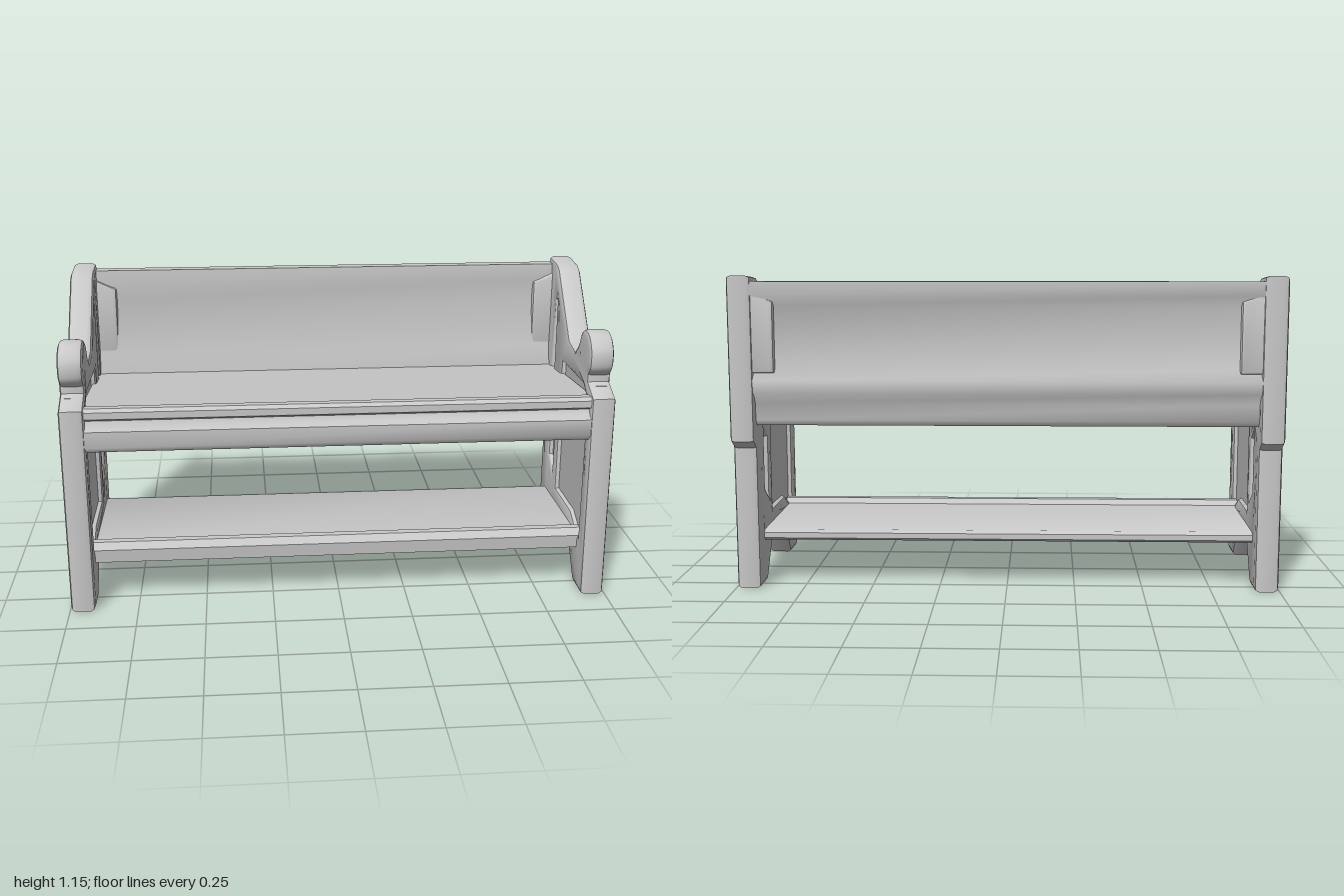
import * as THREE from 'three';
import { toCreasedNormals } from 'three/addons/utils/BufferGeometryUtils.js';

const wood = new THREE.MeshStandardMaterial({ color: 0xc8c8c8 });
wood.name = 'palePaint';

const path = (pts, Type = THREE.Shape) => new Type(pts.map(([a, b]) => new THREE.Vector2(a, b)));
const rect = (a0, b0, a1, b1) => [[a0, b0], [a1, b0], [a1, b1], [a0, b1]];

function extrude(shape, depth, bevel) {
  return new THREE.ExtrudeGeometry(shape, {
    depth: depth - 2 * bevel, curveSegments: 5, bevelEnabled: bevel > 0,
    bevelSize: bevel, bevelThickness: bevel, bevelOffset: -bevel, bevelSegments: 2,
  }).translate(0, 0, bevel);
}

function mesh(name, geometry) {
  const m = new THREE.Mesh(toCreasedNormals(geometry, 0.7), wood);
  m.name = name;
  return m;
}

// Extrude a (z, y) outline across x from x0 to x1
function across(name, shape, x0, x1, bevel = 0) {
  return mesh(name, extrude(shape, x1 - x0, bevel).rotateY(-Math.PI / 2).translate(x1, 0, 0));
}

function endOutline() {
  const s = new THREE.Shape();
  s.moveTo(0.368, 0);
  s.lineTo(0.365, 0.77);
  s.lineTo(0.275, 0.81);
  s.lineTo(0.275, 0.835);
  // rounded arm knob
  s.splineThru([[0.303, 0.87], [0.303, 0.93], [0.265, 0.978], [0.21, 0.99], [0.16, 0.97],
    [0.125, 0.915], [0.08, 0.875]].map(([a, b]) => new THREE.Vector2(a, b)));
  [[-0.01, 0.892], [-0.215, 1.125], [-0.25, 1.142], [-0.368, 1.15], [-0.368, 0.555],
    [-0.322, 0.525], [-0.32, 0], [-0.2, 0], [-0.1, 0.14], [0.14, 0.14], [0.245, 0]]
    .forEach(([a, b]) => s.lineTo(a, b));
  return s;
}

function createEnd(side) {
  const g = new THREE.Group();
  g.name = side > 0 ? 'leftEnd' : 'rightEnd';
  const span = (a, b) => (side > 0 ? [a, b] : [-b, -a]);

  // frame with the openings that hold the inset panels
  const frame = endOutline();
  const openings = [
    [[0.285, 0.21], [0.22, 0.22], [0.15, 0.255], [-0.085, 0.255], [-0.085, 0.785], [0.22, 0.785], [0.285, 0.74]],
    [[-0.14, 0.31], [-0.205, 0.36], [-0.21, 0.59], [-0.14, 0.54]],
    [[-0.205, 0.67], [-0.24, 0.655], [-0.235, 1.0], [-0.21, 1.0]],
  ];
  openings.forEach(o => frame.holes.push(path(o, THREE.Path)));
  g.add(across('endFrame', frame, ...span(0.906, 0.996), 0.018));

  g.add(across('endPanel', path(rect(-0.1, 0.19, 0.3, 0.8)), ...span(0.925, 0.976)));
  g.add(across('postInset', path(rect(-0.23, 0.3, -0.12, 0.61)), ...span(0.925, 0.972)));
  g.add(across('slotInset', path(rect(-0.25, 0.63, -0.19, 1.02)), ...span(0.925, 0.976)));
  return g;
}

export function createModel() {
  const model = new THREE.Group();
  model.name = 'pewBench';
  model.add(createEnd(1), createEnd(-1));

  // back board: hollowed on both faces, with the rear seat apron below it
  model.add(across('backBoard', path([[-0.362, 1.13], [-0.362, 1.08], [-0.343, 1.04], [-0.343, 0.82],
    [-0.362, 0.775], [-0.358, 0.73], [-0.335, 0.69], [-0.335, 0.63], [-0.32, 0.61], [-0.28, 0.61],
    [-0.275, 0.7], [-0.3, 0.8], [-0.322, 1.0], [-0.31, 1.07], [-0.314, 1.13]]), -0.92, 0.92));
  // stiles closing the hollows at both ends
  for (const s of [-1, 1]) {
    const stile = path([[s * 0.83, 0.8], [s * 0.92, 0.8], [s * 0.92, 1.1], [s * 0.83, 1.06]]);
    model.add(mesh('backStile', extrude(stile, 0.06, 0.015).translate(0, 0, -0.36)));
  }

  // seat slab, tilted gently down to the back
  model.add(across('seat', path([[-0.3, 0.69], [0.32, 0.735], [0.32, 0.768], [-0.3, 0.72]]), -0.92, 0.92));

  // stepped front apron under the seat edge
  model.add(across('frontApron', path([[0.3, 0.612], [0.345, 0.612], [0.358, 0.63], [0.358, 0.69],
    [0.34, 0.71], [0.335, 0.725], [0.352, 0.735], [0.352, 0.76], [0.34, 0.772],
    [0.31, 0.772], [0.3, 0.76]]), -0.92, 0.92));

  // lower shelf: thick rounded front edge, thinning towards the back
  model.add(across('lowerShelf', path([[-0.25, 0.175], [-0.235, 0.165], [0.24, 0.14], [0.28, 0.155],
    [0.285, 0.205], [0.265, 0.23], [0.235, 0.23], [0.22, 0.21], [-0.235, 0.205],
    [-0.25, 0.195]]), -0.92, 0.92));
  return model;
}
